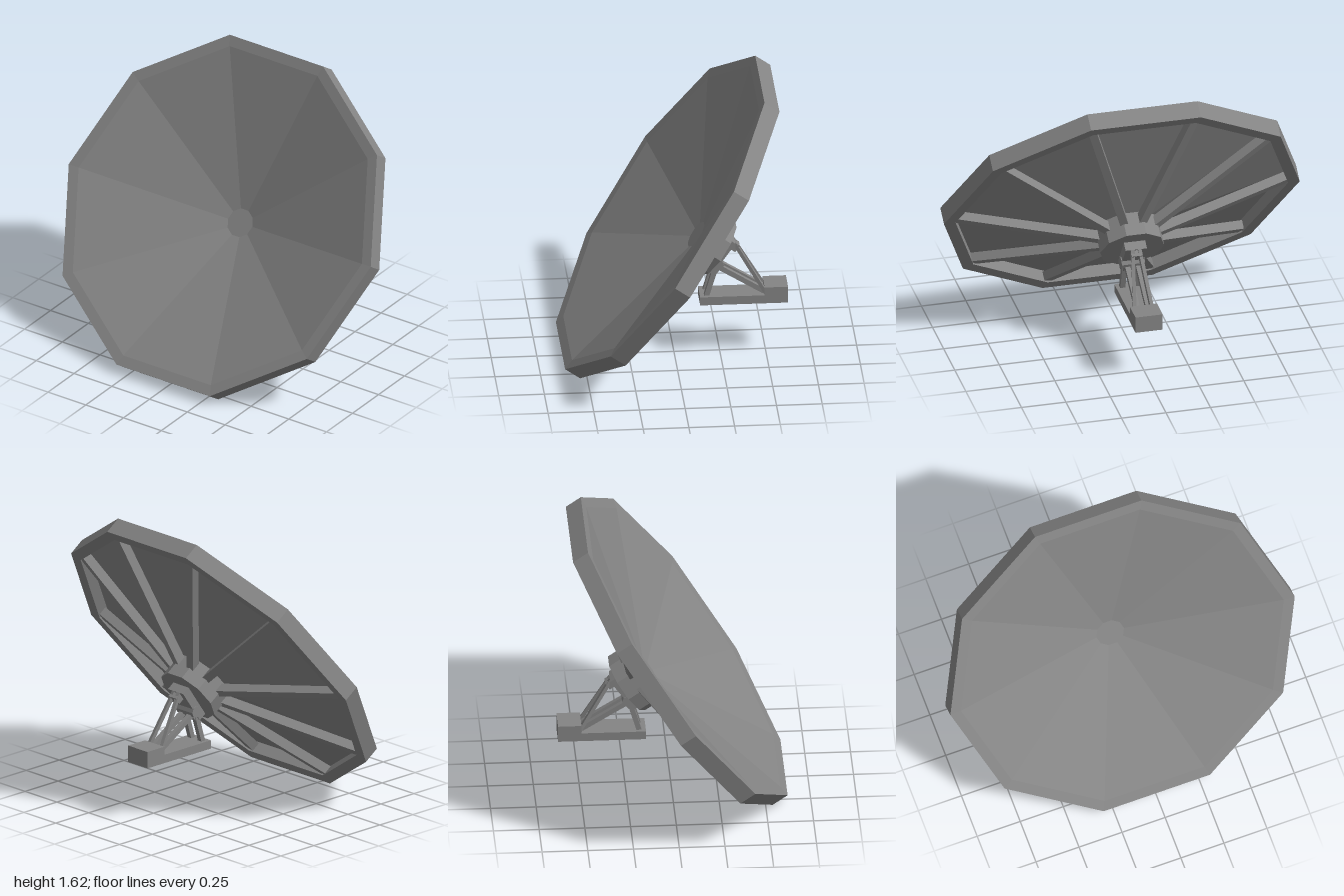
import * as THREE from 'three';

const SIDES = 10;
const mat = new THREE.MeshStandardMaterial({ color: 0x848484, flatShading: true });

function add(parent, name, geometry, x = 0, y = 0, z = 0) {
  const mesh = new THREE.Mesh(geometry, mat);
  mesh.name = name;
  mesh.position.set(x, y, z);
  parent.add(mesh);
  return mesh;
}

// square bar running between two points
function strut(parent, name, a, b, w) {
  const from = new THREE.Vector3(...a), to = new THREE.Vector3(...b);
  const mesh = add(parent, name, new THREE.BoxGeometry(w, w, from.distanceTo(to)));
  mesh.position.copy(from).add(to).multiplyScalar(0.5);
  mesh.lookAt(to);
}

export function createModel() {
  const model = new THREE.Group();
  model.name = 'satelliteDish';

  // tilted reflector assembly: +z is the facing direction of the dish
  const reflector = new THREE.Group();
  reflector.name = 'reflector';
  reflector.position.set(0, 0.84, 0.075);
  reflector.rotation.x = -THREE.MathUtils.degToRad(35);
  model.add(reflector);

  // shallow cone with a thick faceted rim, profile from back centre to front centre
  const profile = [
    [0, -0.255], [0.08, -0.255], [0.935, -0.03], [0.935, -0.1], [1, -0.1],
    [1, 0], [0.938, -0.006], [0.08, -0.24], [0, -0.24],
  ].map(([r, z]) => new THREE.Vector2(r, z));
  const dish = new THREE.LatheGeometry(profile, SIDES, Math.PI / 2);
  dish.rotateX(Math.PI / 2);
  add(reflector, 'dish', dish);

  // slim ribs from the hub to every rim corner
  const ribWidth = 0.045;
  const ribShape = new THREE.Shape([
    [0.1, -0.28], [0.94, -0.035], [0.94, -0.088], [0.14, -0.325], [0.1, -0.325],
  ].map(([r, z]) => new THREE.Vector2(r, z)));
  const ribGeometry = new THREE.ExtrudeGeometry(ribShape, { depth: ribWidth, bevelEnabled: false });
  ribGeometry.translate(0, 0, -ribWidth / 2);
  ribGeometry.rotateX(Math.PI / 2);
  for (let i = 0; i < SIDES; i++) {
    const rib = add(reflector, 'rib', ribGeometry);
    rib.rotation.z = (i / SIDES) * Math.PI * 2;
  }

  // hub drum with its mounting plate
  const hub = new THREE.CylinderGeometry(0.18, 0.18, 0.137, SIDES, 1, false, Math.PI / 2);
  hub.rotateX(Math.PI / 2);
  add(reflector, 'hub', hub, 0, 0, -0.3165);
  add(reflector, 'mountPlate', new THREE.BoxGeometry(0.12, 0.22, 0.05), 0, -0.02, -0.41);

  // brackets on the plate
  add(reflector, 'actuatorBracket', new THREE.BoxGeometry(0.06, 0.045, 0.04), 0, 0.06, -0.452);
  add(reflector, 'hingeBracket', new THREE.BoxGeometry(0.1, 0.05, 0.03), 0, -0.09, -0.44);

  // hinge axle
  const axle = new THREE.CylinderGeometry(0.034, 0.034, 0.13, 8);
  axle.rotateZ(Math.PI / 2);
  add(model, 'hingeAxle', axle, 0, 0.54, -0.235);

  // support legs and spreading tilt rods on both sides
  for (const s of [-1, 1]) {
    strut(model, 'frontLeg', [s * 0.04, 0.54, -0.23], [s * 0.04, 0.345, -0.172], 0.028);
    strut(model, 'rearLeg', [s * 0.03, 0.53, -0.225], [s * 0.03, 0.36, -0.5], 0.028);
    strut(model, 'tiltRod', [s * 0.018, 0.66, -0.325], [s * 0.05, 0.36, -0.5], 0.02);
  }

  // base plate and rear counterweight box
  add(model, 'basePlate', new THREE.BoxGeometry(0.15, 0.048, 0.48), 0, 0.332, -0.378);
  add(model, 'baseBox', new THREE.BoxGeometry(0.152, 0.094, 0.128), 0, 0.356, -0.555);

  return model;
}
